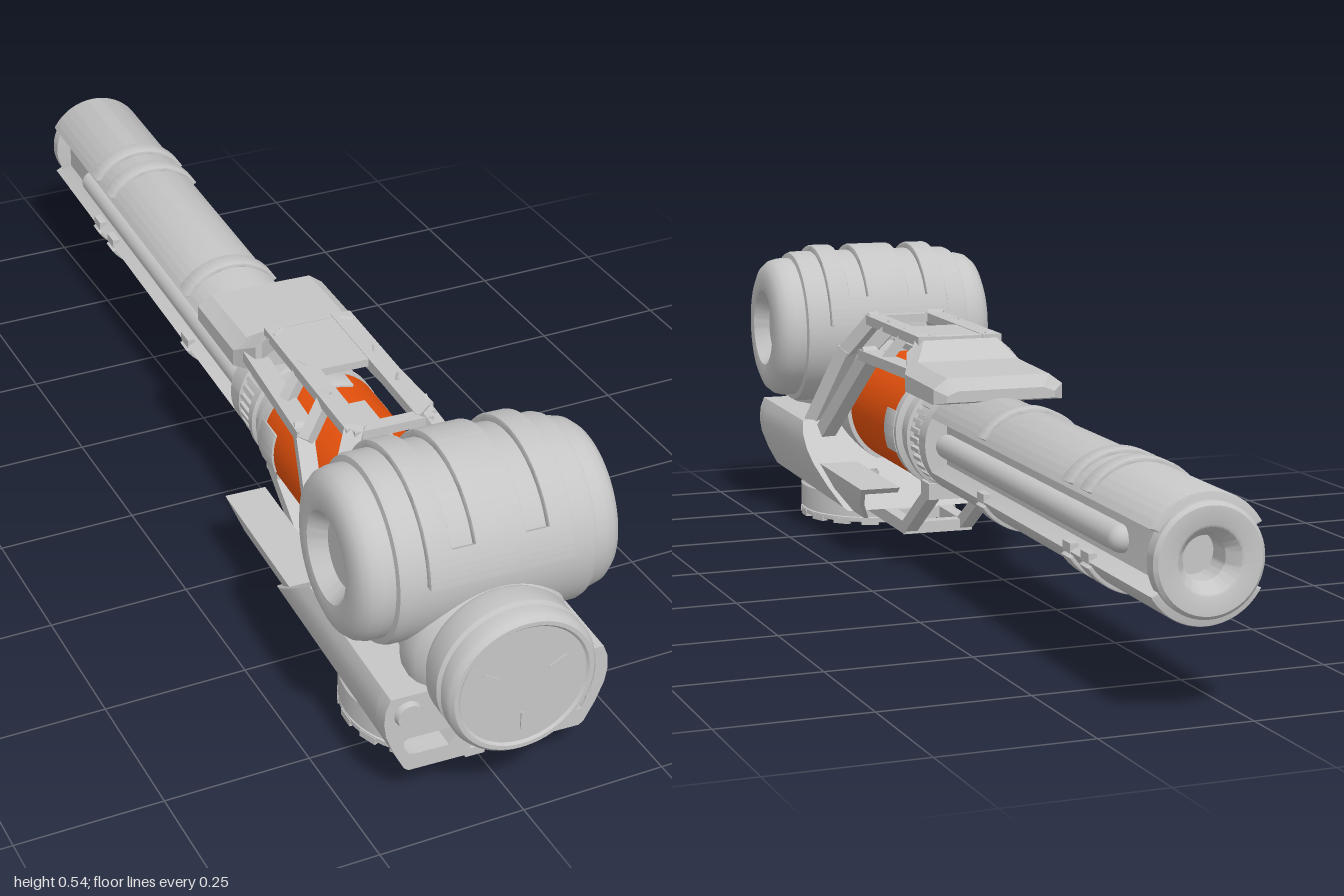
import * as THREE from 'three';
import { toCreasedNormals, mergeGeometries } from 'three/addons/utils/BufferGeometryUtils.js';

const AXIS = 0.245; // height of the barrel axis

export function createModel() {
  const model = new THREE.Group();
  const grey = new THREE.MeshStandardMaterial({ color: 0xc6c6c6, name: 'light grey metal' });
  const orange = new THREE.MeshStandardMaterial({ color: 0xe4500c, name: 'orange cell' });

  const body = new THREE.Group();
  body.name = 'cannon';
  body.rotation.y = -0.0425;
  body.position.x = 0.0305;
  model.add(body);

  const add = (name, geo, mat = grey, parent = body) => {
    const m = new THREE.Mesh(geo, mat);
    m.name = name;
    parent.add(m);
  };
  const V = (x, y, z) => new THREE.Vector3(x, y, z);
  const shapeOf = pts => new THREE.Shape(pts.map(p => new THREE.Vector2(p[0], p[1])));
  const lathe = pts =>
    toCreasedNormals(new THREE.LatheGeometry(pts.map(p => new THREE.Vector2(p[0], p[1])), 64), 0.5);
  // profile of [radius, z] turned about the barrel axis
  const turnZ = pts => lathe(pts).rotateX(Math.PI / 2).translate(0, AXIS, 0);
  const extrude = (shape, z0, z1, bevel = 0) => toCreasedNormals(new THREE.ExtrudeGeometry(shape, {
    depth: z1 - z0 - 2 * bevel, bevelEnabled: bevel > 0, bevelSize: bevel, bevelThickness: bevel,
    bevelOffset: -bevel, bevelSegments: 2, curveSegments: 32 }).translate(0, 0, z0 + bevel), 0.5);
  // curved plate: part of a ring, extruded along z
  const arcPlate = (r0, r1, a0, a1, z0, z1, bevel = 0.003) => {
    const s = new THREE.Shape();
    s.absarc(0, 0, r1, a0, a1, false);
    s.absarc(0, 0, r0, a1, a0, true);
    return extrude(s, z0, z1, bevel);
  };
  // straight square bar between two points
  const bar = (a, b, w, h) => {
    const o = new THREE.Object3D();
    o.position.copy(a).lerp(b, 0.5);
    o.lookAt(b);
    o.updateMatrix();
    return new THREE.BoxGeometry(w, h, a.distanceTo(b) + h * 0.6).applyMatrix4(o.matrix);
  };
  // loft of sections [z, half width below, half width above, y below, y above]
  const loft = rows => {
    const pos = [], idx = [];
    rows.forEach(([z, wb, wt, yb, yt]) => {
      const m = yb + (yt - yb) * 0.6;
      pos.push(-wb, yb, z, wb, yb, z, wb, m, z, wt, yt, z, -wt, yt, z, -wb, m, z);
    });
    for (let i = 0; i < rows.length - 1; i++)
      for (let k = 0; k < 6; k++) {
        const a = i * 6 + k, b = i * 6 + (k + 1) % 6;
        idx.push(a, b, b + 6, a, b + 6, a + 6);
      }
    const e = (rows.length - 1) * 6;
    for (let k = 1; k < 5; k++) idx.push(0, k + 1, k, e, e + k, e + k + 1);
    const g = new THREE.BufferGeometry();
    g.setAttribute('position', new THREE.Float32BufferAttribute(pos, 3));
    g.setIndex(idx);
    return toCreasedNormals(g, 0.3);
  };

  // Barrel with a channel along each side
  const a = 0.512;
  const section = new THREE.Shape();
  section.absarc(0, 0, 0.101, a, Math.PI - a, false);
  section.lineTo(-0.06, 0.036).lineTo(-0.06, -0.036);
  section.absarc(0, 0, 0.101, Math.PI + a, 2 * Math.PI - a, false);
  section.lineTo(0.06, -0.036).lineTo(0.06, 0.036);
  section.holes.push(new THREE.Path().absarc(0, 0, 0.045, 0, Math.PI * 2, true));
  add('barrel', extrude(section, -0.985, 0.06, 0.004).translate(0, AXIS, 0));
  add('muzzle', turnZ([[0, -0.93], [0.034, -0.93], [0.034, -0.975], [0.05, -0.998], [0.054, -1],
    [0.082, -1], [0.088, -0.994], [0.088, -0.97], [0.04, -0.965]]));
  for (const s of [1, -1]) {
    const rod = new THREE.CapsuleGeometry(0.022, 0.84, 6, 20).rotateX(Math.PI / 2);
    add('channelRod', rod.translate(s * 0.064, AXIS, -0.39));
    for (const z of [-0.22, -0.64, -0.72]) {
      const mid = s * Math.PI / 2;
      add('barrelBand', arcPlate(0.095, 0.108, mid - 0.99, mid + 0.99, z - 0.02, z + 0.02).translate(0, AXIS, 0));
      add('channelClip', new THREE.BoxGeometry(0.014, 0.016, 0.035).translate(s * 0.081, AXIS - 0.045, z));
    }
  }

  // Collar with a ribbed ring
  add('collar', turnZ([[0, 0.05], [0.101, 0.05], [0.101, 0.088], [0.094, 0.092], [0.094, 0.142], [0.106, 0.146],
    [0.106, 0.162], [0.1, 0.166], [0.1, 0.195], [0.111, 0.199], [0.111, 0.222], [0, 0.222]]));
  const ribs = [];
  for (let i = 0; i < 36; i++)
    ribs.push(new THREE.BoxGeometry(0.008, 0.009, 0.046).translate(0, 0.097, 0.117).rotateZ(i * Math.PI / 18));
  add('collarRibs', mergeGeometries(ribs).translate(0, AXIS, 0));
  for (let i = 0; i < 4; i++) {
    const m = i * Math.PI / 2;
    add('collarTab', arcPlate(0.1, 0.113, m - 0.35, m + 0.35, 0.21, 0.27, 0.002).translate(0, AXIS, 0));
  }

  // Energy cell
  add('energyCell', turnZ([[0, 0.21], [0.109, 0.21], [0.109, 0.507], [0, 0.507]]), orange);

  // Front cylinder and its cap
  add('frontCylinder', turnZ([[0, 0.505], [0.117, 0.505], [0.117, 0.8], [0.134, 0.84], [0.136, 0.87], [0.131, 0.89],
    [0.12, 0.905], [0.126, 0.918], [0.126, 0.955], [0.12, 0.959], [0.12, 0.967], [0.126, 0.971], [0.126, 0.986],
    [0.123, 0.994], [0.117, 1], [0.11, 1], [0.106, 0.996], [0, 0.996]]));
  for (let i = 0; i < 3; i++)
    add('capMark', new THREE.BoxGeometry(0.004, 0.032, 0.005).translate(0, -0.065, 0)
      .rotateZ(i * Math.PI * 2 / 3).translate(0, AXIS - 0.002, 0.996));

  // Cross drum with dished ends
  const drum = new THREE.Group();
  drum.name = 'drum';
  drum.position.set(0, 0.379, 0.754);
  body.add(drum);
  const half = [[0.151, 0.157], [0.148, 0.165], [0.138, 0.167], [0.138, 0.187], [0.134, 0.202], [0.124, 0.214],
    [0.108, 0.221], [0.08, 0.223], [0.075, 0.222], [0.055, 0.195], [0, 0.195]];
  const profile = [...half.map(([r, y]) => [r, -y]).reverse(), ...half];
  add('drumBody', lathe(profile).rotateZ(-Math.PI / 2), grey, drum);
  const plate = (a0, a1, x0, x1) =>
    add('drumPlate', arcPlate(0.145, 0.163, a0, a1, x0, x1, 0.004).rotateY(Math.PI / 2), grey, drum);
  for (const [x0, x1] of [[-0.122, -0.08], [-0.043, 0.043], [0.08, 0.122]]) plate(0.42, Math.PI - 0.42, x0, x1);
  plate(0.1, 0.46, -0.122, 0.122);
  plate(Math.PI - 0.46, Math.PI - 0.1, -0.122, 0.122);

  // Lower housing, open side tunnels, slanted rear
  const outline = [[-0.148, 0.064], [0.148, 0.064], [0.156, 0.07], [0.174, 0.104], [0.188, 0.14], [0.192, 0.165],
    [0.19, 0.19], [0.182, 0.21], [-0.182, 0.21], [-0.19, 0.19], [-0.192, 0.165], [-0.188, 0.14], [-0.174, 0.104],
    [-0.156, 0.07]];
  const housing = () => {
    const s = shapeOf(outline);
    for (const d of [1, -1])
      s.holes.push(shapeOf([[0.08, 0.094], [0.14, 0.094], [0.15, 0.098], [0.158, 0.114], [0.157, 0.123], [0.15, 0.127],
        [0.066, 0.127], [0.062, 0.122]].map(([x, y]) => [x * d, y])));
    return s;
  };
  const slant = (geo, zMax, rule) => {
    const p = geo.attributes.position;
    for (let i = 0; i < p.count; i++) if (p.getZ(i) < zMax) p.setZ(i, rule(p.getY(i)));
    return toCreasedNormals(geo, 0.4);
  };
  add('housing', slant(extrude(housing(), 0.5, 0.886), 0.7, y => 0.6 - (0.21 - y) * 1.43));
  const face = housing();
  face.holes.push(shapeOf([[-0.045, 0.075], [0.045, 0.075], [0.03, 0.096], [-0.03, 0.096]]));
  add('frontPlate', extrude(face, 0.885, 0.916));
  for (const s of [1, -1]) {
    add('frontBolt', new THREE.CylinderGeometry(0.021, 0.024, 0.012, 32).rotateX(Math.PI / 2).translate(s * 0.152, 0.176, 0.92));
    // Side wing reaching back from the housing
    const wing = [[0.139, 0.064], [0.162, 0.1], [0.175, 0.14], [0.1, 0.14], [0.1, 0.128], [0.163, 0.128], [0.153, 0.1], [0.131, 0.064]]
      .map(([x, y]) => [x * s, y]);
    add('sideWing', slant(extrude(shapeOf(wing), 0.3, 0.6), 0.4, y => 0.21 + (0.14 - y) * 1.4));
  }

  // Round base with a toothed rim and bolts
  const base = new THREE.Group();
  base.name = 'base';
  base.position.set(0, 0, 0.695);
  body.add(base);
  add('baseDisc', lathe([[0, 0.004], [0.152, 0.004], [0.156, 0.006], [0.156, 0.014], [0.152, 0.015], [0.152, 0.018],
    [0.157, 0.019], [0.157, 0.062], [0.145, 0.075], [0, 0.075]]), grey, base);
  for (let i = 0; i < 16; i++)
    add('baseTooth', new THREE.BoxGeometry(0.034, 0.012, 0.012).translate(0, 0.006, 0.151).rotateY(i * Math.PI / 8), grey, base);
  for (let i = 0; i < 6; i++)
    add('baseBolt', new THREE.CylinderGeometry(0.012, 0.012, 0.004, 16).translate(0, 0.003, 0.095).rotateY(i * Math.PI / 3), grey, base);

  // Top cover: rear hood, then an open frame over the cell
  add('hood', loft([[-0.078, 0.1, 0.08, 0.342, 0.362], [-0.06, 0.12, 0.095, 0.337, 0.383], [0.11, 0.12, 0.095, 0.337, 0.388],
    [0.135, 0.108, 0.08, 0.342, 0.408], [0.165, 0.1, 0.066, 0.355, 0.428]]));
  add('roofPlate', new THREE.BoxGeometry(0.14, 0.014, 0.16).translate(0, 0.42, 0.235));
  add('roofProng', new THREE.BoxGeometry(0.036, 0.012, 0.16).translate(0, 0.372, 0.44));
  for (const s of [1, -1]) {
    const top = z => V(s * 0.062, 0.419, z), low = z => V(s * (0.092 + 0.05 * (z - 0.13)), 0.365, z);
    const knee = V(s * 0.105, 0.35, 0.55);
    const bars = [
      [top(0.16), top(0.5), 0.036, 0.018], [low(0.13), low(0.4), 0.036, 0.02],
      [top(0.18), low(0.14), 0.024, 0.022], [top(0.285), low(0.3), 0.02, 0.02], [top(0.385), low(0.41), 0.02, 0.024],
      [low(0.385), V(s * 0.142, 0.2, 0.56), 0.03, 0.03],
      [top(0.5), knee, 0.032, 0.026], [knee, V(s * 0.152, 0.205, 0.62), 0.034, 0.028],
    ];
    add('coverFrame', mergeGeometries(bars.map(b => bar(...b))));
    // Under guard rails
    add('guardRail', mergeGeometries([
      bar(V(s * 0.055, 0.045, 0.58), V(s * 0.055, 0.045, 0.3), 0.025, 0.024),
      bar(V(s * 0.055, 0.045, 0.3), V(s * 0.055, 0.133, 0.16), 0.025, 0.024)]));
  }
  add('roofFrontBar', new THREE.BoxGeometry(0.14, 0.016, 0.025).translate(0, 0.419, 0.505));
  add('guardCrossBars', mergeGeometries([0.3, 0.43].map(z => bar(V(-0.06, 0.045, z), V(0.06, 0.045, z), 0.026, 0.022))));
  add('guardFoot', new THREE.BoxGeometry(0.135, 0.03, 0.05).translate(0, 0.143, 0.16));

  return model;
}
